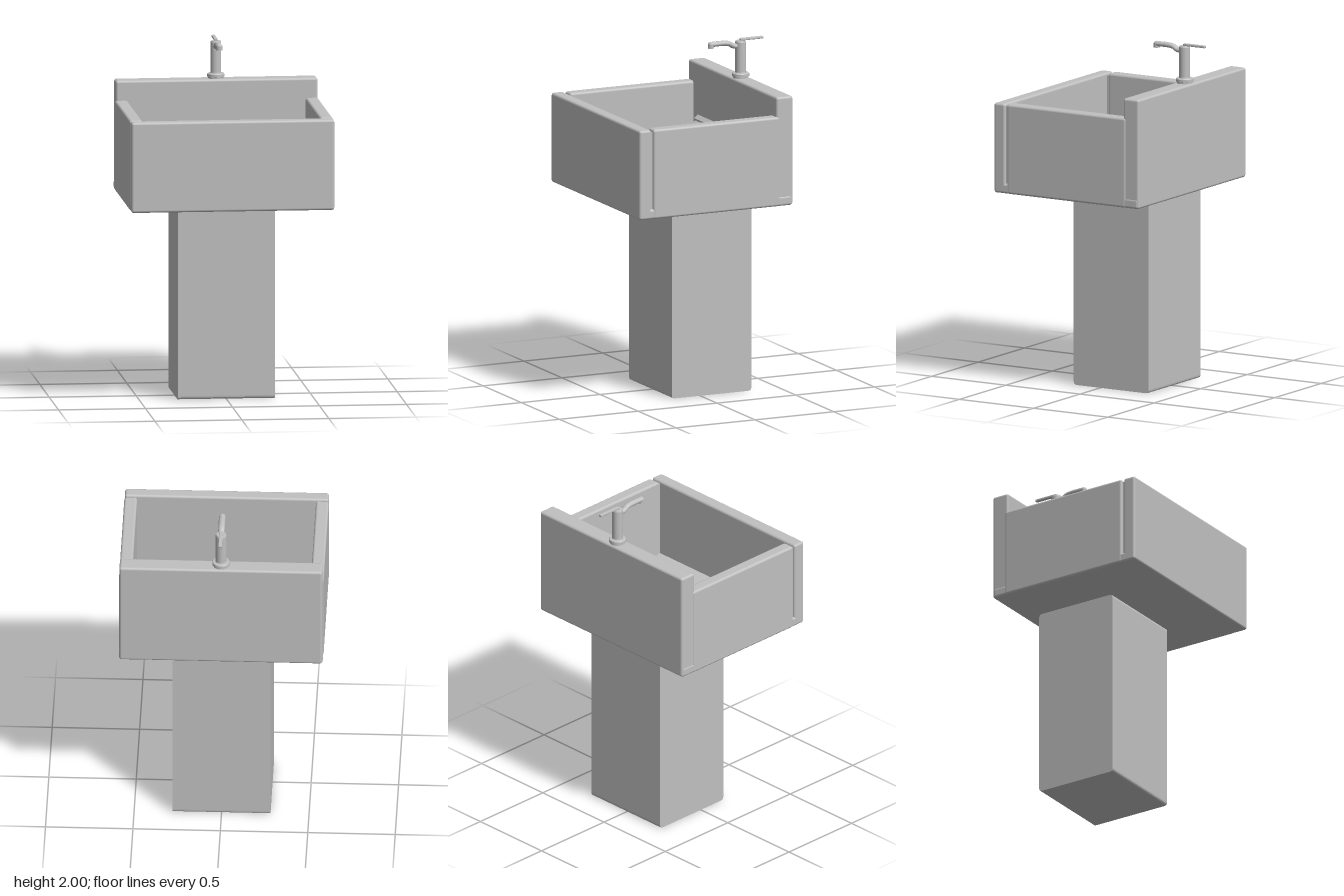
import * as THREE from 'three';
import { RoundedBoxGeometry } from 'three/addons/geometries/RoundedBoxGeometry.js';

const grey = new THREE.MeshStandardMaterial({ color: 0xc0c0c0 });
grey.name = 'grey ceramic';

export function createModel() {
  const model = new THREE.Group();
  model.name = 'washbasin';

  const add = (name, geometry, x = 0, y = 0, z = 0, parent = model) => {
    const mesh = new THREE.Mesh(geometry, grey);
    mesh.name = name;
    mesh.position.set(x, y, z);
    parent.add(mesh);
    return mesh;
  };
  // Rounded slab given by its minimum and maximum corners
  const slab = (name, [x0, y0, z0], [x1, y1, z1], r = 0.014) =>
    add(name, new RoundedBoxGeometry(x1 - x0, y1 - y0, z1 - z0, 3, r),
      (x0 + x1) / 2, (y0 + y1) / 2, (z0 + z1) / 2);

  // Pedestal: rounded side profile with flat left and right faces
  const r = 0.02, z0 = -0.325, z1 = 0.18, h = 1.115;
  const profile = new THREE.Shape();
  profile.moveTo(z0 + r, 0);
  profile.lineTo(z1 - r, 0);
  profile.quadraticCurveTo(z1, 0, z1, r);
  profile.lineTo(z1, h - r);
  profile.quadraticCurveTo(z1, h, z1 - r, h);
  profile.lineTo(z0 + r, h);
  profile.quadraticCurveTo(z0, h, z0, h - r);
  profile.lineTo(z0, r);
  profile.quadraticCurveTo(z0, 0, z0 + r, 0);
  const column = new THREE.ExtrudeGeometry(profile, { depth: 0.56, bevelEnabled: false, curveSegments: 4 });
  column.translate(0, 0, -0.28).rotateY(-Math.PI / 2);
  add('pedestal', column);

  // Basin floor and walls
  slab('basinFloor', [-0.583, 1.133, -0.44], [0.583, 1.19, 0.53]);
  slab('frontWall', [-0.583, 1.135, 0.455], [0.583, 1.655, 0.53]);
  slab('backWall', [-0.58, 1.133, -0.445], [0.58, 1.77, -0.34]);
  for (const s of [-1, 1]) {
    const wall = slab('sideWall', [-0.037, 1.133, -0.36], [0.037, 1.655, 0.442]);
    wall.position.x = s * 0.548;
    // Recessed joint between side wall and front wall
    add('cornerJoint', new THREE.BoxGeometry(0.05, 0.47, 0.06), s * 0.543, 1.405, 0.45);
  }

  // Sloping washboard
  const board = new THREE.Group();
  board.name = 'washboard';
  model.add(board);
  const top = new THREE.Vector2(-0.34, 1.45), foot = new THREE.Vector2(0.04, 1.185);
  const wedge = new THREE.Shape([
    new THREE.Vector2(top.x, foot.y), foot, top,
  ]);
  const ramp = new THREE.ExtrudeGeometry(wedge, { depth: 0.9, bevelEnabled: false });
  ramp.translate(0, 0, -0.45).rotateY(-Math.PI / 2);
  add('ramp', ramp, 0, 0, 0, board);
  const slope = (top.y - foot.y) / (foot.x - top.x);
  for (let i = 0; i < 8; i++) {
    const z = -0.333 + i * 0.0434;
    const ridge = add('ridge', new THREE.BoxGeometry(0.9, 0.024, 0.032),
      0, top.y - (z - top.x) * slope + 0.006, z, board);
    ridge.rotation.x = Math.atan(slope);
  }

  // Drain
  add('drain', new THREE.CylinderGeometry(0.042, 0.042, 0.008, 32), 0, 1.192, 0.235);

  // Tap
  const tap = new THREE.Group();
  tap.name = 'tap';
  tap.position.set(0, 1.77, -0.392);
  model.add(tap);
  const body = [
    [0, 0], [0.044, 0], [0.044, 0.008], [0.05, 0.01], [0.05, 0.025], [0.046, 0.03],
    [0.032, 0.031], [0.031, 0.036], [0.031, 0.208], [0.028, 0.216], [0, 0.217],
  ].map(([x, y]) => new THREE.Vector2(x, y));
  // Faceted sections keep the collar edges crisp
  for (let i = 1; i < body.length; i++) {
    add('tapBody', new THREE.LatheGeometry([body[i - 1], body[i]], 32), 0, 0, 0, tap);
  }
  const path = new THREE.CatmullRomCurve3([
    new THREE.Vector3(0, 0.188, 0),
    new THREE.Vector3(0, 0.189, 0.045),
    new THREE.Vector3(0, 0.205, 0.075),
    new THREE.Vector3(0, 0.21, 0.11),
    new THREE.Vector3(0, 0.21, 0.185),
  ]);
  const spout = add('spout', new THREE.TubeGeometry(path, 28, 0.015, 16), 0, 0, 0, tap);
  spout.scale.x = 1.25;
  const end = add('spoutEnd', new THREE.SphereGeometry(0.018, 20, 12), 0, 0.21, 0.187, tap);
  end.scale.y = 0.85;
  add('nozzle', new THREE.CylinderGeometry(0.018, 0.018, 0.022, 24), 0, 0.199, 0.188, tap);
  add('handle', new RoundedBoxGeometry(0.021, 0.014, 0.145, 2, 0.004), 0, 0.223, -0.068, tap);

  return model;
}
